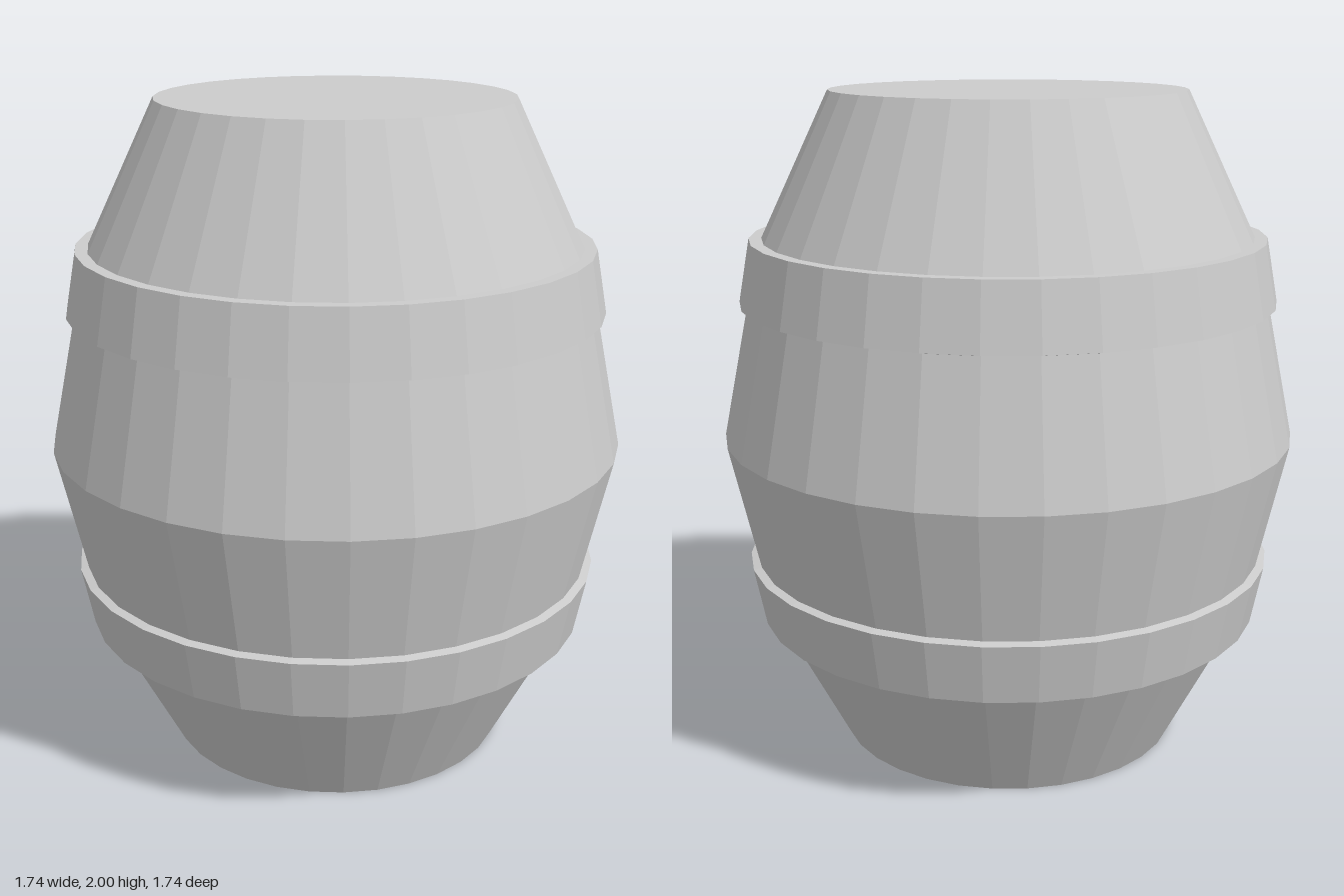
import * as THREE from 'three';

const SIDES = 32;
const material = new THREE.MeshStandardMaterial({ color: 0xcccccc, flatShading: true });

// Faceted solid of revolution from [radius, y] pairs, listed bottom to top
function turned(name, profile) {
  const points = profile.map(([r, y]) => new THREE.Vector2(r, y));
  const mesh = new THREE.Mesh(new THREE.LatheGeometry(points, SIDES), material);
  mesh.name = name;
  return mesh;
}

export function createModel() {
  const group = new THREE.Group();
  group.name = 'barrel';

  // Closed body, widest at the middle and tapering more steeply at both ends
  group.add(turned('barrelBody', [
    [0, 0], [0.527, 0], [0.753, 0.44], [0.87, 0.97], [0.752, 1.54], [0.53, 2], [0, 2],
  ]));

  // Hoops follow the bulge, thicker edge towards the middle
  group.add(turned('lowerHoop', [
    [0.71, 0.4], [0.775, 0.4], [0.81, 0.58], [0.77, 0.59],
  ]));
  group.add(turned('upperHoop', [
    [0.77, 1.37], [0.81, 1.38], [0.775, 1.57], [0.71, 1.57],
  ]));

  return group;
}
